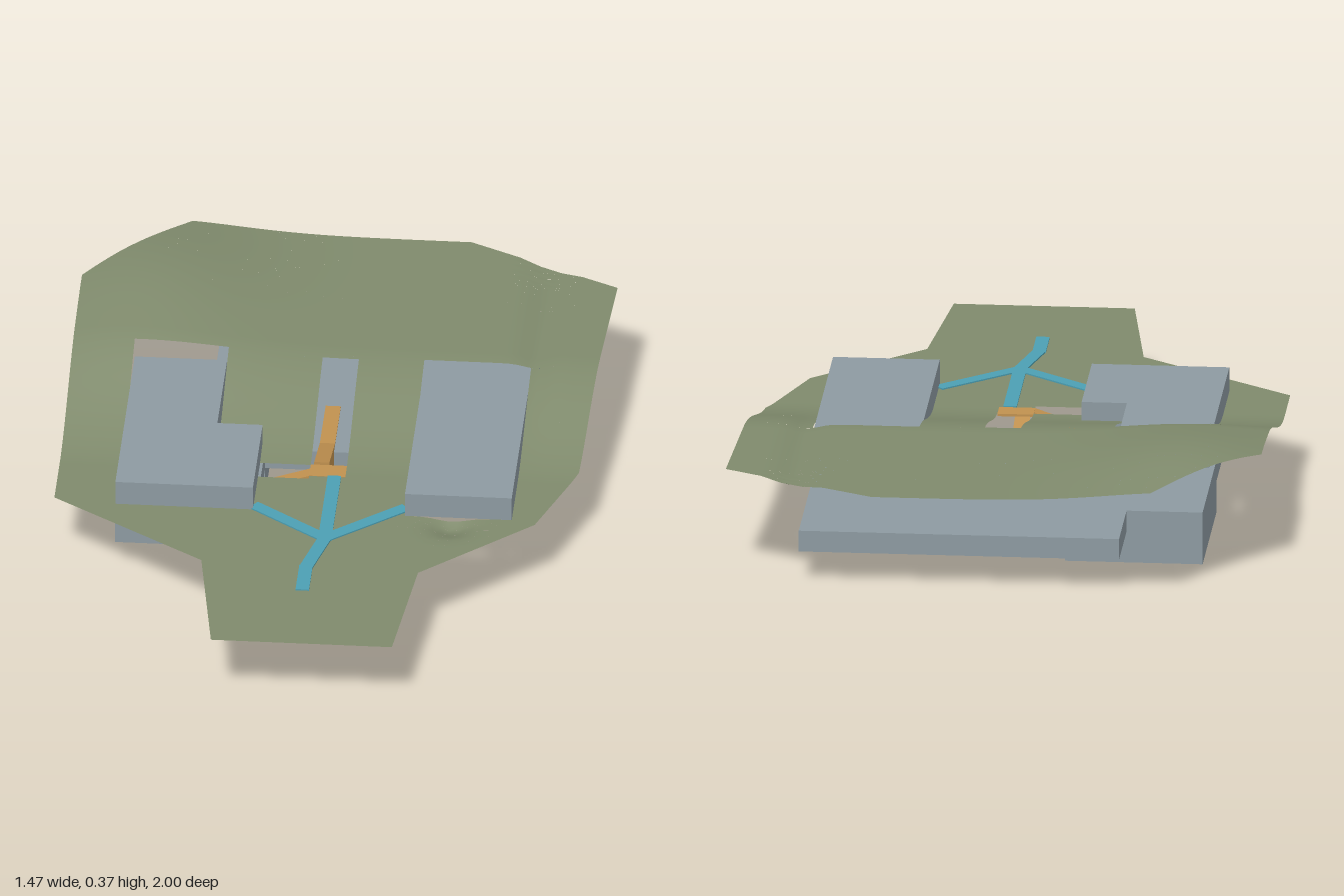
import * as THREE from 'three';

const mat = (name, color, side = THREE.FrontSide) => {
  const m = new THREE.MeshStandardMaterial({ color, side });
  m.name = name;
  return m;
};

// Site outline: left and right edges as [z, x]
const LEFT = [[-1, -0.46], [-0.67, -0.74], [0.28, -0.74], [0.58, -0.31], [1, -0.25]];
const RIGHT = [[-1, 0.31], [-0.79, 0.73], [0.04, 0.69], [0.32, 0.59], [0.6, 0.29], [1, 0.25]];
// Openings in the ground as [x0, x1, z0, z1]
const HOLES = [
  [-0.57, -0.31, -0.37, -0.035], [-0.57, -0.19, -0.035, 0.3],
  [-0.19, -0.05, 0.055, 0.125], [-0.05, 0.05, -0.36, 0.11], [0.23, 0.525, -0.37, 0.3],
];

function edgeAt(edge, z) {
  const i = Math.max(1, edge.findIndex((p) => p[0] >= z));
  const [a, b] = [edge[i - 1], edge[i]];
  return a[1] + (b[1] - a[1]) * (z - a[0]) / (b[0] - a[0]);
}

const bell = (v, centre, width) => Math.exp(-(((v - centre) / width) ** 2));

// Flat forecourt rising to a plateau, with a knoll, a shallow gully and a hollow
function height(x, z) {
  const rise = THREE.MathUtils.smoothstep(-z, -0.1, 0.42);
  return 0.21 + rise * (0.1 - 0.014 * bell(x, 0.54, 0.045))
    + 0.065 * rise * bell(x, -0.55, 0.3) * bell(z, -0.7, 0.38)
    - 0.025 * bell(x, 0.36, 0.055) * bell(z, 0.34, 0.05);
}

function terrainGeometry() {
  const rows = [...LEFT, ...RIGHT].map((p) => p[0]);
  HOLES.forEach((h) => rows.push(h[2], h[3]));
  for (let i = -33; i <= 33; i++) rows.push(i * 0.03);
  const zs = [...new Set(rows)].sort((a, b) => a - b);
  const pos = [], nor = [], e = 0.002;
  const put = (x, z) => {
    pos.push(x, height(x, z), z);
    const n = new THREE.Vector3(
      height(x - e, z) - height(x + e, z), 2 * e, height(x, z - e) - height(x, z + e)).normalize();
    nor.push(n.x, n.y, n.z);
  };
  for (let r = 0; r < zs.length - 1; r++) {
    const z0 = zs[r], z1 = zs[r + 1], mid = (z0 + z1) / 2;
    // Solid spans of this row, between the outline and the openings
    const cuts = HOLES.filter((h) => mid > h[2] && mid < h[3]).sort((a, b) => a[0] - b[0]);
    const ends = [[edgeAt(LEFT, z0), edgeAt(LEFT, z1)]];
    cuts.forEach((h) => ends.push([h[0], h[0]], [h[1], h[1]]));
    ends.push([edgeAt(RIGHT, z0), edgeAt(RIGHT, z1)]);
    for (let s = 0; s < ends.length; s += 2) {
      const [a, b] = [ends[s], ends[s + 1]];
      if (b[0] - a[0] < 1e-4) continue;
      const n = Math.ceil((b[0] - a[0]) / 0.025);
      const at = (k, side) => a[side] + (b[side] - a[side]) * k / n;
      for (let k = 0; k < n; k++) {
        put(at(k, 0), z0); put(at(k, 1), z1); put(at(k + 1, 1), z1);
        put(at(k, 0), z0); put(at(k + 1, 1), z1); put(at(k + 1, 0), z0);
      }
    }
  }
  const g = new THREE.BufferGeometry();
  g.setAttribute('position', new THREE.Float32BufferAttribute(pos, 3));
  g.setAttribute('normal', new THREE.Float32BufferAttribute(nor, 3));
  return g;
}

function extrude(points, depth) {
  const shape = new THREE.Shape(points.map((p) => new THREE.Vector2(...p)));
  return new THREE.ExtrudeGeometry(shape, { depth, bevelEnabled: false });
}

export function createModel() {
  const root = new THREE.Group();
  const grass = mat('ground green', 0x7f8a6c, THREE.DoubleSide);
  const grey = mat('building grey', 0x8d9aa1);
  const ochre = mat('ramp ochre', 0xc0914f);
  const blue = mat('path blue', 0x4c9fb3);

  const add = (name, geometry, material) => {
    const m = new THREE.Mesh(geometry, material);
    m.name = name;
    root.add(m);
    return m;
  };
  const block = (name, material, x0, x1, y0, y1, z0, z1) =>
    add(name, new THREE.BoxGeometry(x1 - x0, y1 - y0, z1 - z0), material)
      .position.set((x0 + x1) / 2, (y0 + y1) / 2, (z0 + z1) / 2);

  add('terrain', terrainGeometry(), grass);

  // Upper volumes set in the ground openings
  const wing = extrude([[-0.57, -0.3], [-0.19, -0.3], [-0.19, 0.035], [-0.315, 0.035],
    [-0.315, 0.37], [-0.57, 0.37]], 0.07);
  wing.rotateX(-Math.PI / 2);
  add('upperCornerBuilding', wing, grey).position.y = 0.21;
  block('upperLongBuilding', grey, 0.23, 0.525, 0.21, 0.28, -0.37, 0.3);

  // Lower floors beneath the ground
  block('lowerFloor', grey, -0.36, 0.525, 0.09, 0.15, -0.83, -0.12);
  block('lowerFrontRoom', grey, -0.57, -0.19, 0.09, 0.15, -0.12, 0.305);
  block('basement', grey, -0.57, -0.19, 0, 0.15, -0.58, -0.115);

  // Landing with a ramp down to each lower volume
  block('landing', ochre, -0.05, 0.05, 0.204, 0.211, 0.05, 0.11);
  add('sideRamp', extrude([[-0.22, 0.092], [-0.05, 0.092], [-0.05, 0.21], [-0.22, 0.153]], 0.04), ochre)
    .position.z = 0.07;
  const ramp = extrude([[-0.36, 0.092], [0.035, 0.092], [0.035, 0.21], [-0.16, 0.154], [-0.36, 0.153]], 0.042);
  ramp.rotateY(-Math.PI / 2);
  add('backRamp', ramp, ochre);

  // Branching footpath
  const paths = [
    [0.02, 0.11, 0.02, 0.45], [0.02, 0.44, -0.19, 0.28], [0.02, 0.44, 0.23, 0.26],
    [0.02, 0.44, -0.02, 0.6], [-0.02, 0.59, -0.02, 0.72],
  ];
  paths.forEach(([x0, z0, x1, z1], i) => {
    const g = new THREE.BoxGeometry(0.037, 0.004, Math.hypot(x1 - x0, z1 - z0));
    const m = add('footpath' + (i + 1), g, blue);
    m.position.set((x0 + x1) / 2, 0.2125, (z0 + z1) / 2);
    m.rotation.y = Math.atan2(x1 - x0, z1 - z0);
  });

  return root;
}
